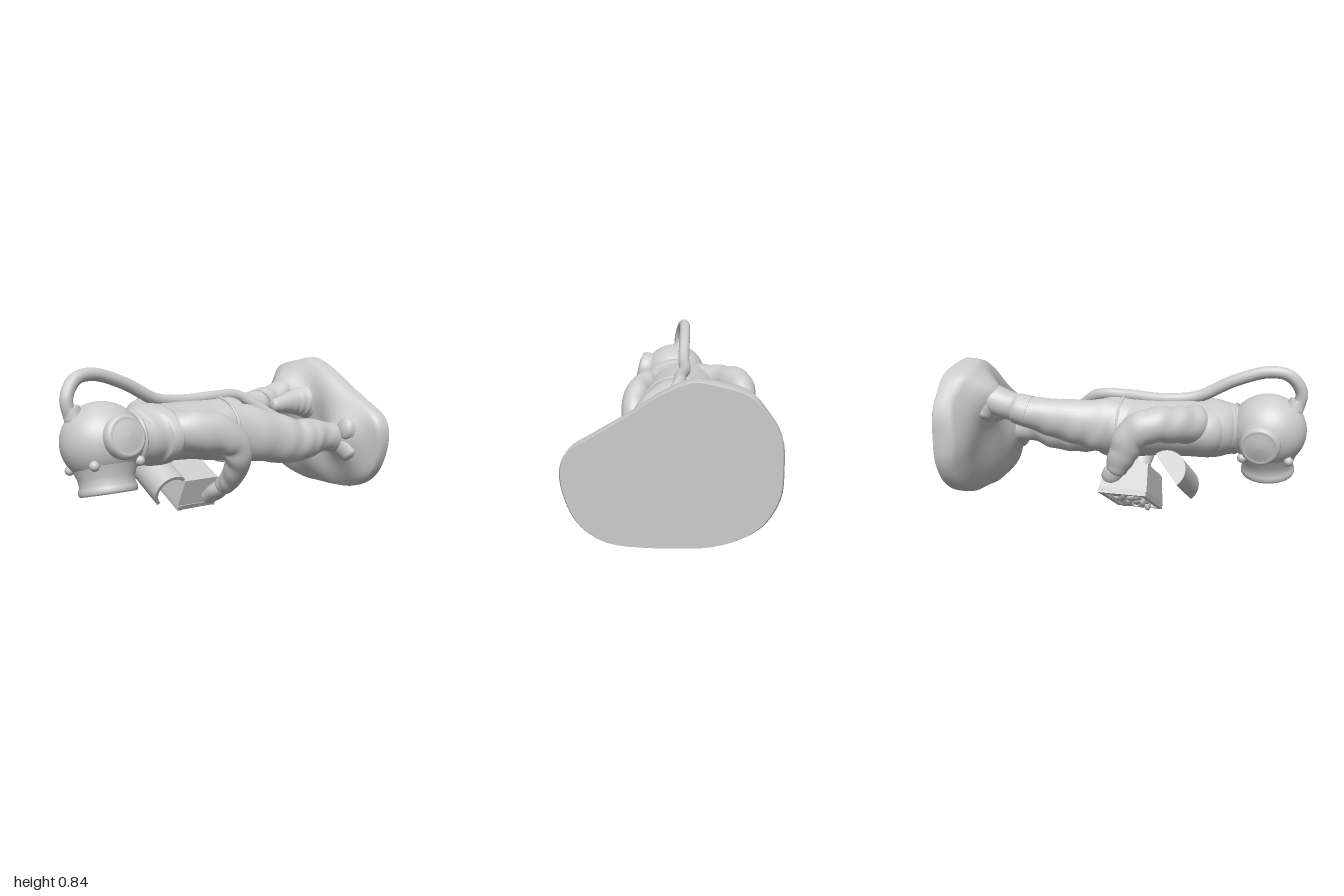
import * as THREE from 'three';

const V = (x, y, z) => new THREE.Vector3(x, y, z);
const material = new THREE.MeshStandardMaterial({ color: 0xcccccc, side: THREE.DoubleSide });

function add(parent, name, geometry, position = [0, 0, 0], rotation = [0, 0, 0], scale = [1, 1, 1]) {
  const mesh = new THREE.Mesh(geometry, material);
  mesh.name = name;
  mesh.position.set(...position);
  mesh.rotation.set(...rotation);
  mesh.scale.set(...scale);
  parent.add(mesh);
}

// Joins closed rings of points into one smooth surface
function skin(rings) {
  const n = rings[0].length, index = [];
  for (let i = 0; i < rings.length - 1; i++) {
    for (let j = 0; j < n; j++) {
      const a = i * n + j, b = i * n + (j + 1) % n, c = a + n, d = b + n;
      index.push(a, b, c, b, d, c);
    }
  }
  const g = new THREE.BufferGeometry().setFromPoints(rings.flat());
  g.setIndex(index);
  g.computeVertexNormals();
  return g;
}

// Rounded body through sections [x, y, z, radiusA, radiusB], with soft cloth folds
function loft(sections, { ref = V(0, 1, 0), folds = 0, sides = 28, steps = 48 } = {}) {
  const path = new THREE.CatmullRomCurve3(sections.map(s => V(s[0], s[1], s[2])));
  const radii = new THREE.CatmullRomCurve3(sections.map(s => V(s[3], s[4], 0)));
  radii.curveType = path.curveType = 'catmullrom';
  const rings = [];
  const ring = (t, shrink, push) => {
    const c = path.getPoint(t), r = radii.getPoint(t), dir = path.getTangent(t);
    const side = ref.clone().cross(dir).normalize(), up = dir.clone().cross(side);
    c.addScaledVector(dir, push * Math.min(r.x, r.y) * 0.6);
    rings.push(Array.from({ length: sides }, (_, j) => {
      const a = j / sides * Math.PI * 2;
      const k = shrink * (1 + folds * Math.sin(t * 36 + 2.2 * Math.sin(a + t * 4)) * (0.6 + 0.4 * Math.cos(2 * a + 1)));
      return c.clone().addScaledVector(side, r.x * k * Math.cos(a)).addScaledVector(up, r.y * k * Math.sin(a));
    }));
  };
  for (let i = 0; i < 6; i++) ring(0, Math.sin(i / 6 * Math.PI / 2), -Math.cos(i / 6 * Math.PI / 2));
  for (let i = 0; i <= steps; i++) ring(i / steps, 1, 0);
  for (let i = 5; i >= 0; i--) ring(1, Math.sin(i / 6 * Math.PI / 2), Math.cos(i / 6 * Math.PI / 2));
  return skin(rings);
}

// Domed rocky slab with a flat underside and mounds beneath the feet
function baseGeometry() {
  const outline = [[-0.1, 0.845], [-0.2, 0.835], [-0.36, 0.785], [-0.43, 0.71], [-0.5, 0.59], [-0.512, 0.45], [-0.5, 0.3],
    [-0.42, 0.165], [-0.3, 0.09], [-0.15, 0.05], [0, 0.045], [0.12, 0.043], [0.3, 0.063], [0.42, 0.14], [0.49, 0.27],
    [0.51, 0.42], [0.47, 0.51], [0.35, 0.59], [0.2, 0.68], [0.05, 0.78]].map(p => V(p[0], p[1], 0));
  const edge = new THREE.CatmullRomCurve3(outline, true).getPoints(80).slice(0, 80);
  const bump = (x, y, cx, cy, w, h) => h * Math.exp(-((x - cx) ** 2 + (y - cy) ** 2) / (w * w));
  const top = (x, y, s) => -0.885 + 0.075 * (1 - s ** 4) + 0.02 * (y - 0.45) + bump(x, y, -0.21, 0.67, 0.13, 0.12)
    + bump(x, y, -0.4, 0.45, 0.15, 0.03) + bump(x, y, -0.07, 0.59, 0.07, 0.06) + bump(x, y, 0.26, 0.38, 0.12, 0.065)
    + 0.008 * Math.sin(17 * x + 9 * y);
  const ring = (s, z) => edge.map(p => {
    const x = p.x * s, y = 0.45 + (p.y - 0.45) * s;
    return V(x, y, z === undefined ? top(x, y, s) : z);
  });
  const rings = [ring(0, -0.968), ring(0.985, -0.968), ring(0.985, -0.968), ring(1, -0.955), ring(1, -0.905)];
  for (let i = 0; i <= 18; i++) rings.push(ring(0.98 * (1 - i / 18)));
  return skin(rings);
}

function buildHelmet() {
  const helmet = new THREE.Group();
  helmet.name = 'helmet';
  helmet.position.set(0.12, 0.475, 0.785);
  helmet.rotation.z = 0.23;
  const lathe = pts => new THREE.LatheGeometry(pts.map(p => new THREE.Vector2(...p)), 40);
  add(helmet, 'helmetShell', new THREE.SphereGeometry(0.205, 48, 32), [0, 0, 0], [0, 0, 0], [1, 1, 1.04]);
  // Open face port and the two side ports
  add(helmet, 'facePort', lathe([[0, -0.2], [0.115, -0.205], [0.122, -0.255], [0.13, -0.262], [0.144, -0.262],
    [0.15, -0.25], [0.149, -0.23], [0.141, -0.215], [0.146, -0.175], [0.168, -0.12]]));
  const port = lathe([[0, -0.246], [0.055, -0.242], [0.08, -0.23], [0.086, -0.236], [0.1, -0.233], [0.11, -0.215],
    [0.11, -0.19], [0.108, -0.175], [0.13, -0.14]]);
  for (const s of [1, -1]) {
    add(helmet, s > 0 ? 'leftPort' : 'rightPort', port, [0, 0, -0.015], [0, 0, s * Math.PI / 2]);
    for (const z of [0.13, -0.125]) {
      add(helmet, 'wingNut', new THREE.SphereGeometry(0.026, 16, 12), [s * 0.132, -0.12, z]);
    }
  }
  add(helmet, 'neckRing', new THREE.TorusGeometry(0.133, 0.014, 12, 40), [-0.005, 0, -0.18]);
  return helmet;
}

// Open chest, long axis along local x, lid hinged towards the helmet
function buildChest() {
  const chest = new THREE.Group();
  chest.name = 'chest';
  chest.position.set(-0.175, 0.178, 0.085);
  chest.rotation.z = -0.477;
  // Body narrows towards its underside, which rests against the suit
  const body = new THREE.BoxGeometry(0.38, 0.16, 0.27);
  const p = body.attributes.position;
  for (let i = 0; i < p.count; i++) {
    if (p.getY(i) > 0) p.setXYZ(i, p.getX(i) * 0.86, p.getY(i), p.getZ(i) * 0.85);
  }
  body.computeVertexNormals();
  add(chest, 'chestBody', body, [0.01, 0.015, 0]);
  for (const z of [-0.12, 0.12]) add(chest, 'chestRim', new THREE.BoxGeometry(0.39, 0.03, 0.025), [0.01, -0.075, z]);
  for (const x of [-0.17, 0.19]) add(chest, 'chestEndRim', new THREE.BoxGeometry(0.025, 0.03, 0.26), [x, -0.075, 0]);
  // Half-barrel lid with one closed end
  const arch = new THREE.Shape();
  arch.absarc(0, 0, 0.105, 0, Math.PI, false);
  const shell = arch.clone();
  shell.absarc(0, 0, 0.085, Math.PI, 0, true);
  for (const [name, shape, depth] of [['chestLid', shell, 0.39], ['lidEnd', arch, 0.02]]) {
    const g = new THREE.ExtrudeGeometry(shape, { depth, bevelEnabled: false, curveSegments: 24 });
    g.translate(0, 0, -0.195).rotateY(Math.PI / 2).rotateX(Math.PI / 2 - 0.7);
    add(chest, name, g, [0.015, 0.065, 0.225]);
  }
  // Heaped treasure
  for (let i = 0; i < 16; i++) {
    add(chest, 'treasure', new THREE.SphereGeometry(0.032, 12, 8),
      [-0.135 + (i % 8) * 0.041, -0.075 - 0.01 * Math.sin(i * 2.3), (i < 8 ? -0.045 : 0.055) + 0.02 * Math.sin(i * 4.1)],
      [i, i * 2, 0], [1, 0.6, 1.2]);
  }
  return chest;
}

export function createModel() {
  const model = new THREE.Group();
  model.name = 'diverStatue';
  add(model, 'rockBase', baseGeometry());
  add(model, 'rockSpike', loft([[-0.06, 0.57, -0.84, 0.1, 0.12], [-0.07, 0.57, -0.7, 0.06, 0.075], [-0.068, 0.555, -0.55, 0.038, 0.04]], { folds: 0.03 }));
  add(model, 'sideRock', loft([[0.3, 0.42, -0.9, 0.1, 0.12], [0.31, 0.43, -0.79, 0.06, 0.07]], { folds: 0.04 }));

  // Suit body with belt and shoulder collar
  add(model, 'torso', loft([[0.11, 0.47, 0.6, 0.14, 0.14], [0.09, 0.475, 0.52, 0.17, 0.152], [0.05, 0.48, 0.42, 0.225, 0.16],
    [0.03, 0.48, 0.3, 0.215, 0.16], [0.035, 0.475, 0.15, 0.2, 0.165], [0.04, 0.465, 0.03, 0.192, 0.175],
    [0.035, 0.465, -0.06, 0.2, 0.182], [0.035, 0.46, -0.14, 0.17, 0.17], [0.04, 0.46, -0.2, 0.09, 0.12]], { folds: 0.015, sides: 40 }));
  add(model, 'belt', new THREE.TorusGeometry(0.186, 0.01, 10, 48), [0.04, 0.465, -0.02], [0, 0, 0], [1.05, 0.97, 1]);
  add(model, 'collar', loft([[0.105, 0.475, 0.56, 0.155, 0.148], [0.085, 0.478, 0.51, 0.19, 0.162], [0.07, 0.48, 0.45, 0.225, 0.167]], { sides: 40 }));

  // Legs and boots
  add(model, 'leftLeg', loft([[0.11, 0.46, 0.02, 0.11, 0.16], [0.135, 0.445, -0.12, 0.115, 0.165], [0.165, 0.42, -0.25, 0.115, 0.15],
    [0.195, 0.39, -0.38, 0.105, 0.14], [0.21, 0.375, -0.48, 0.102, 0.125], [0.212, 0.385, -0.58, 0.105, 0.118],
    [0.225, 0.385, -0.69, 0.08, 0.09], [0.235, 0.36, -0.82, 0.08, 0.09]], { folds: 0.035 }));
  add(model, 'rightLeg', loft([[-0.03, 0.47, 0.02, 0.11, 0.15], [-0.06, 0.48, -0.12, 0.11, 0.155], [-0.1, 0.5, -0.26, 0.1, 0.13],
    [-0.155, 0.53, -0.4, 0.095, 0.11], [-0.19, 0.56, -0.52, 0.1, 0.09], [-0.195, 0.585, -0.62, 0.085, 0.08], [-0.2, 0.64, -0.8, 0.095, 0.09]], { folds: 0.035 }));
  add(model, 'leftBoot', loft([[0.22, 0.4, -0.82, 0.07, 0.06], [0.27, 0.33, -0.81, 0.075, 0.06], [0.32, 0.27, -0.82, 0.06, 0.045]], { ref: V(0, 0, 1) }));
  add(model, 'rightBoot', loft([[-0.195, 0.67, -0.78, 0.07, 0.06], [-0.22, 0.61, -0.77, 0.08, 0.06], [-0.25, 0.54, -0.79, 0.065, 0.05]], { ref: V(0, 0, 1) }));
  add(model, 'rightBootCuff', loft([[-0.19, 0.562, -0.53, 0.105, 0.092], [-0.2, 0.578, -0.59, 0.098, 0.088]]));

  // Arms and hands reaching round the chest
  const arm = { ref: V(1, 0, 0), folds: 0.04 };
  add(model, 'leftArm', loft([[0.16, 0.5, 0.41, 0.1, 0.1], [0.245, 0.5, 0.3, 0.11, 0.085], [0.288, 0.48, 0.17, 0.105, 0.08],
    [0.3, 0.42, 0.07, 0.085, 0.075], [0.28, 0.32, 0.03, 0.075, 0.07], [0.21, 0.215, 0.02, 0.065, 0.06], [0.15, 0.16, 0.025, 0.055, 0.055]], arm));
  add(model, 'leftHand', loft([[0.15, 0.16, 0.025, 0.045, 0.045], [0.09, 0.115, 0.035, 0.058, 0.045], [0.03, 0.07, 0.05, 0.045, 0.035]], { ref: V(1, 0, 0) }));
  add(model, 'rightArm', loft([[-0.07, 0.52, 0.41, 0.11, 0.11], [-0.2, 0.54, 0.34, 0.1, 0.1], [-0.295, 0.55, 0.23, 0.095, 0.095],
    [-0.33, 0.5, 0.13, 0.09, 0.08], [-0.33, 0.4, 0.08, 0.08, 0.07], [-0.32, 0.31, 0.04, 0.06, 0.06]], arm));
  add(model, 'rightHand', loft([[-0.32, 0.31, 0.04, 0.05, 0.045], [-0.305, 0.26, 0.005, 0.055, 0.05], [-0.27, 0.21, -0.015, 0.035, 0.04]], { ref: V(1, 0, 0) }));

  model.add(buildHelmet(), buildChest());

  // Air hose from the back of the helmet along the spine to the leg
  const hose = [[0.1, 0.59, 0.94], [0.095, 0.7, 0.962], [0.07, 0.79, 0.9], [0.05, 0.81, 0.79], [0.038, 0.755, 0.6], [0.03, 0.66, 0.4],
    [0.01, 0.64, 0.2], [0.02, 0.65, 0], [0.02, 0.645, -0.18], [0.07, 0.57, -0.3], [0.11, 0.5, -0.42], [0.14, 0.42, -0.6]];
  add(model, 'airHose', new THREE.TubeGeometry(new THREE.CatmullRomCurve3(hose.map(q => V(...q))), 120, 0.034, 14));
  add(model, 'hoseFitting', new THREE.CylinderGeometry(0.04, 0.052, 0.05, 20), [0.1, 0.635, 0.935], [0.25, 0, 0]);
  return model;
}
